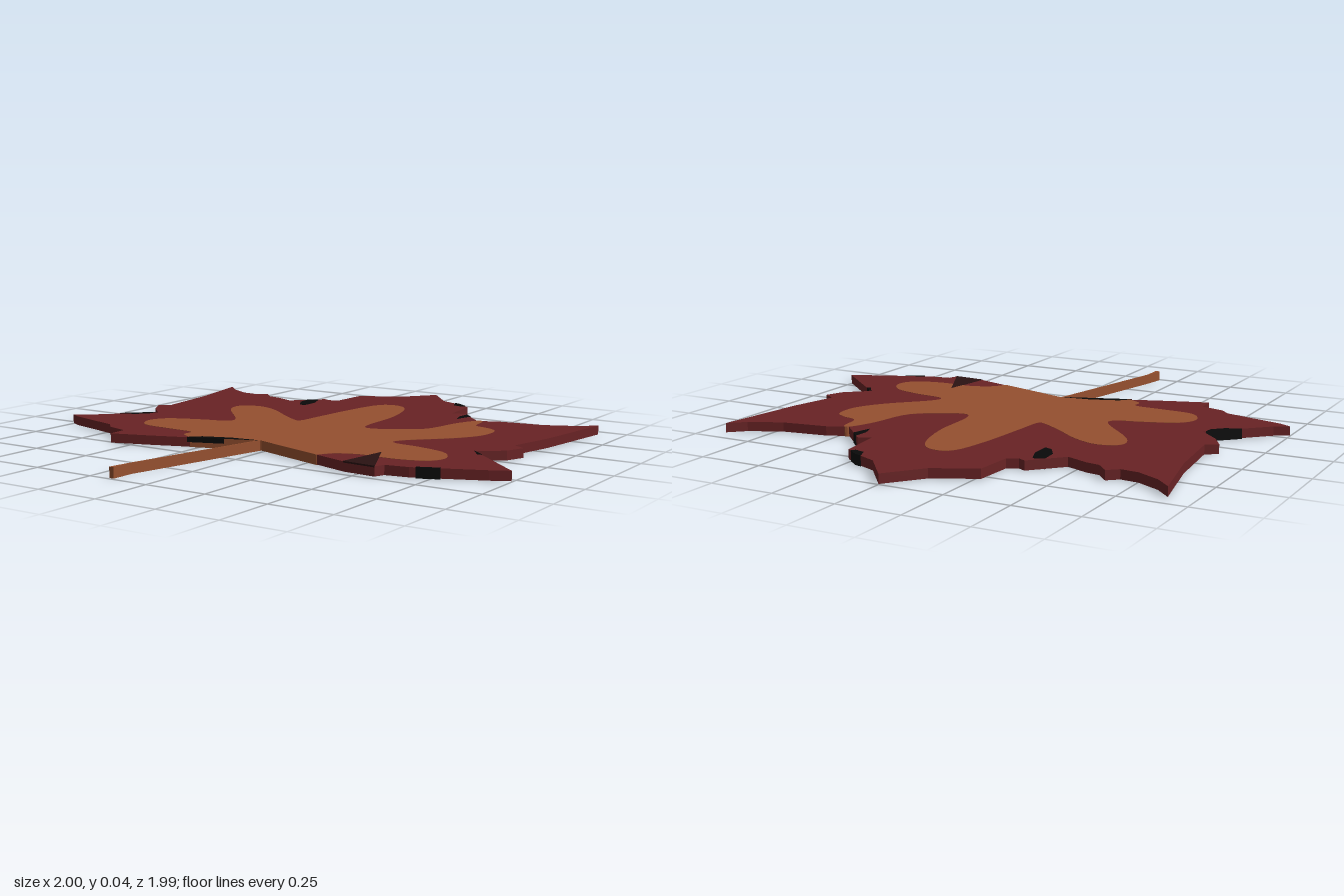
import * as THREE from 'three';

const mat = (name, color) => {
  const m = new THREE.MeshStandardMaterial({ color });
  m.name = name;
  return m;
};

// Flat list x, z, x, z ... to points in the shape plane
const toPoints = (list) => {
  const pts = [];
  for (let i = 0; i < list.length; i += 2) pts.push(new THREE.Vector2(list[i], -list[i + 1]));
  return pts;
};

// Upright slab with the given ground outline between two heights
function slab(name, points, y0, y1, material) {
  const geo = new THREE.ExtrudeGeometry(new THREE.Shape(points), { depth: y1 - y0, bevelEnabled: false });
  geo.rotateX(-Math.PI / 2);
  geo.translate(0, y0, 0);
  const mesh = new THREE.Mesh(geo, material);
  mesh.name = name;
  return mesh;
}

// Jagged leaf edge, clockwise from the middle tip
const LEAF = [
  0, -1, 0.11, -0.87, 0.19, -0.835, 0.27, -0.785, 0.29, -0.61, 0.34, -0.628, 0.46, -0.51,
  0.54, -0.545, 0.72, -0.572, 0.845, -0.63, 0.905, -0.685, 0.855, -0.32, 0.81, -0.13,
  0.86, -0.1, 0.83, -0.025, 0.74, 0.05, 0.998, 0.28, 0.93, 0.315, 0.68, 0.42, 0.59, 0.435,
  0.575, 0.475, 0.445, 0.465, -0.015, 0.315, -0.43, 0.465, -0.585, 0.515, -0.59, 0.435,
  -0.68, 0.41, -0.72, 0.37, -0.955, 0.305, -1, 0.28, -0.945, 0.25, -0.74, 0.05, -0.82, -0.03,
  -0.86, -0.1, -0.815, -0.13, -0.845, -0.4, -0.905, -0.685, -0.845, -0.625, -0.755, -0.577,
  -0.685, -0.57, -0.645, -0.605, -0.6, -0.555, -0.545, -0.545, -0.46, -0.51, -0.35, -0.625,
  -0.32, -0.61, -0.28, -0.63, -0.27, -0.785, -0.11, -0.865,
];

// Rounded fingers of the lighter centre, from the right of the stem to its left
const CENTRE = [
  0.3, 0.421, 0.34, 0.365, 0.43, 0.33, 0.57, 0.33, 0.68, 0.295, 0.713, 0.22, 0.66, 0.135,
  0.54, 0.095, 0.415, 0.075, 0.42, 0.015, 0.555, -0.125, 0.622, -0.24, 0.62, -0.345,
  0.57, -0.385, 0.505, -0.41, 0.487, -0.5, 0.46, -0.512, 0.415, -0.41, 0.375, -0.24,
  0.27, -0.16, 0.18, -0.125, 0.142, -0.185, 0.13, -0.4, 0.075, -0.59, 0, -0.65,
  -0.07, -0.615, -0.105, -0.455, -0.125, -0.24, -0.135, -0.125, -0.165, -0.12, -0.26, -0.185,
  -0.37, -0.27, -0.475, -0.31, -0.555, -0.27, -0.53, -0.175, -0.385, -0.015, -0.375, 0.05,
  -0.475, 0.08, -0.61, 0.135, -0.65, 0.215, -0.6, 0.295, -0.475, 0.31, -0.35, 0.32,
  -0.34, 0.375, -0.28, 0.412,
];

// Dark blemishes that go right through the leaf
const SPOTS = [
  [-0.4, -0.57, -0.36, -0.585, -0.335, -0.52, -0.335, -0.44, -0.365, -0.45, -0.395, -0.5],
  [0.18, -0.842, 0.21, -0.832, 0.25, -0.8, 0.24, -0.785, 0.2, -0.795],
  [0.36, -0.612, 0.39, -0.582, 0.37, -0.505, 0.355, -0.55],
  [-0.75, 0.055, -0.855, 0.155, -0.795, 0.13, -0.755, 0.09],
  [0.738, 0.05, 0.787, 0.09, 0.77, 0.095],
  [0.7, 0.408, 0.702, 0.414, 0.78, 0.382, 0.778, 0.376],
];

export function createModel() {
  const red = mat('dark red', 0x692325);
  const orange = mat('russet', 0x95502f);
  const black = mat('black', 0x0a0a0a);
  const shade = mat('deep maroon', 0x2a1212);
  const leaf = new THREE.Group();
  leaf.name = 'leaf';

  // Leaf body
  leaf.add(slab('leafBlade', toPoints(LEAF), 0.002, 0.038, red));

  // Lighter centre, showing on both faces and on the edge by the stem
  const fingers = new THREE.SplineCurve(toPoints(CENTRE)).getPoints(180);
  const centre = [...fingers, new THREE.Vector2(-0.015, -0.318)];
  leaf.add(slab('leafCentre', centre, 0.001, 0.039, orange));

  // Blemishes
  SPOTS.forEach((s) => leaf.add(slab('darkSpot', toPoints(s), 0, 0.04, black)));
  leaf.add(slab('darkEdge', toPoints([-0.03, 0.322, -0.14, 0.335, -0.25, 0.375, -0.29, 0.417]), 0.02, 0.04, black));
  leaf.add(slab('foldedTear', toPoints([0.47, 0.255, 0.44, 0.465, 0.575, 0.475]), 0.034, 0.04, shade));

  // Stem, a thin upright blade that widens at its end
  const stem = [-0.018, 0.31, -0.151, 0.9, -0.151, 0.99, -0.17, 0.99, -0.155, 0.9, -0.024, 0.31];
  leaf.add(slab('stem', toPoints(stem), 0, 0.04, orange));

  return leaf;
}
